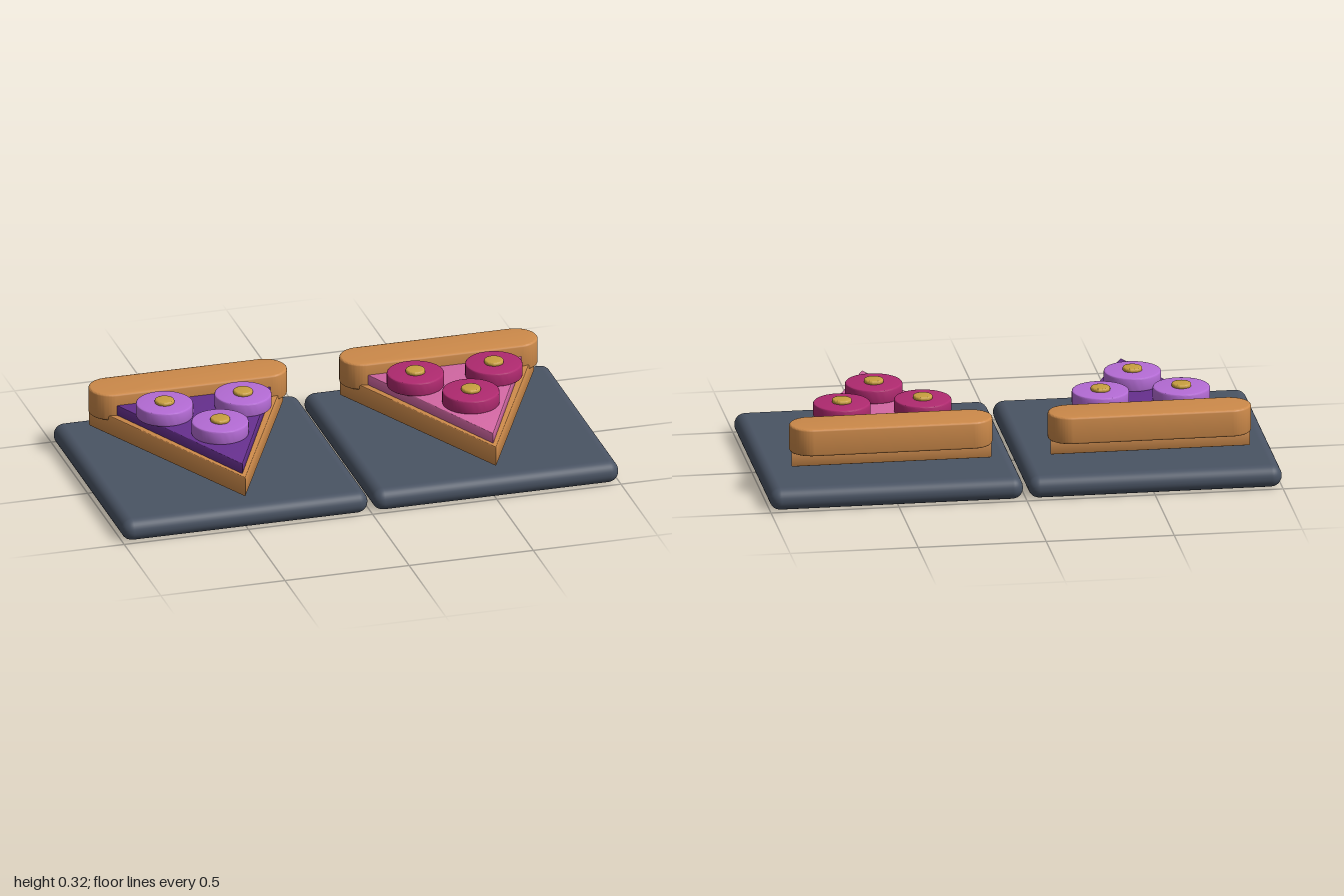
import * as THREE from 'three';
import { toCreasedNormals } from 'three/addons/utils/BufferGeometryUtils.js';
import { RoundedBoxGeometry } from 'three/addons/geometries/RoundedBoxGeometry.js';

const mat = (name, color) => {
  const m = new THREE.MeshStandardMaterial({ color });
  m.name = name;
  return m;
};

// Horizontal slab with softly bevelled edges; the outline is drawn as (x, -z).
function slab(shape, y0, y1, bevel) {
  const geo = new THREE.ExtrudeGeometry(shape, {
    depth: y1 - y0 - 2 * bevel, bevelEnabled: true, bevelThickness: bevel,
    bevelSize: bevel, bevelOffset: -bevel, bevelSegments: 3, curveSegments: 24,
  });
  geo.rotateX(-Math.PI / 2).translate(0, y0 + bevel, 0);
  return toCreasedNormals(geo, 0.7);
}

// Wedge outline with its point towards +z
function wedge(half, back, tip) {
  const s = new THREE.Shape();
  s.moveTo(-half, -back);
  s.lineTo(0, -tip);
  s.lineTo(half, -back);
  s.closePath();
  return s;
}

function disc(radius) {
  const s = new THREE.Shape();
  s.absarc(0, 0, radius, 0, Math.PI * 2, false);
  return s;
}

// Round-ended bar outline
function bar(half, radius, z) {
  const s = new THREE.Shape();
  s.absarc(half - radius, -z, radius, -Math.PI / 2, Math.PI / 2, false);
  s.absarc(-half + radius, -z, radius, Math.PI / 2, Math.PI * 1.5, false);
  s.closePath();
  return s;
}

export function createModel() {
  const model = new THREE.Group();
  model.name = 'pizzaSlicesOnTiles';

  const slate = mat('slate', 0x4a5464);
  const crustBrown = mat('crustBrown', 0xcd8a4a);
  const gold = mat('gold', 0xc9a040);
  const flavours = [
    { name: 'purple', x: -0.505, top: mat('deepPurple', 0x67308f), round: mat('lilac', 0xb56cd6) },
    { name: 'pink', x: 0.505, top: mat('pink', 0xd468a4), round: mat('magenta', 0xb02a70) },
  ];

  const tileGeo = new RoundedBoxGeometry(0.99, 0.088, 1, 4, 0.043).translate(0, 0.044, 0);
  const baseGeo = slab(wedge(0.39, -0.335, 0.475), 0.128, 0.208, 0.006);
  const toppingGeo = slab(wedge(0.315, -0.24, 0.435), 0.206, 0.249, 0.004);
  const crustGeo = slab(bar(0.396, 0.086, -0.314), 0.187, 0.295, 0.008);
  const roundGeo = slab(disc(0.111), 0.247, 0.302, 0.006);
  const dotGeo = slab(disc(0.038), 0.299, 0.316, 0.006);

  for (const f of flavours) {
    const slice = new THREE.Group();
    slice.name = f.name + 'Slice';
    slice.position.x = f.x;
    const add = (name, geo, material, x = 0, z = 0) => {
      const mesh = new THREE.Mesh(geo, material);
      mesh.name = name;
      mesh.position.set(x, 0, z);
      slice.add(mesh);
    };

    // Tile and floating slice
    add('tile', tileGeo, slate);
    add('sliceBase', baseGeo, crustBrown);
    add('topping', toppingGeo, f.top);
    add('crust', crustGeo, crustBrown);

    // Round toppings, each with a gold centre
    for (const [x, z] of [[-0.158, -0.093], [0.158, -0.093], [0, 0.13]]) {
      add('toppingRound', roundGeo, f.round, x, z);
      add('goldCentre', dotGeo, gold, x, z);
    }
    model.add(slice);
  }
  return model;
}
